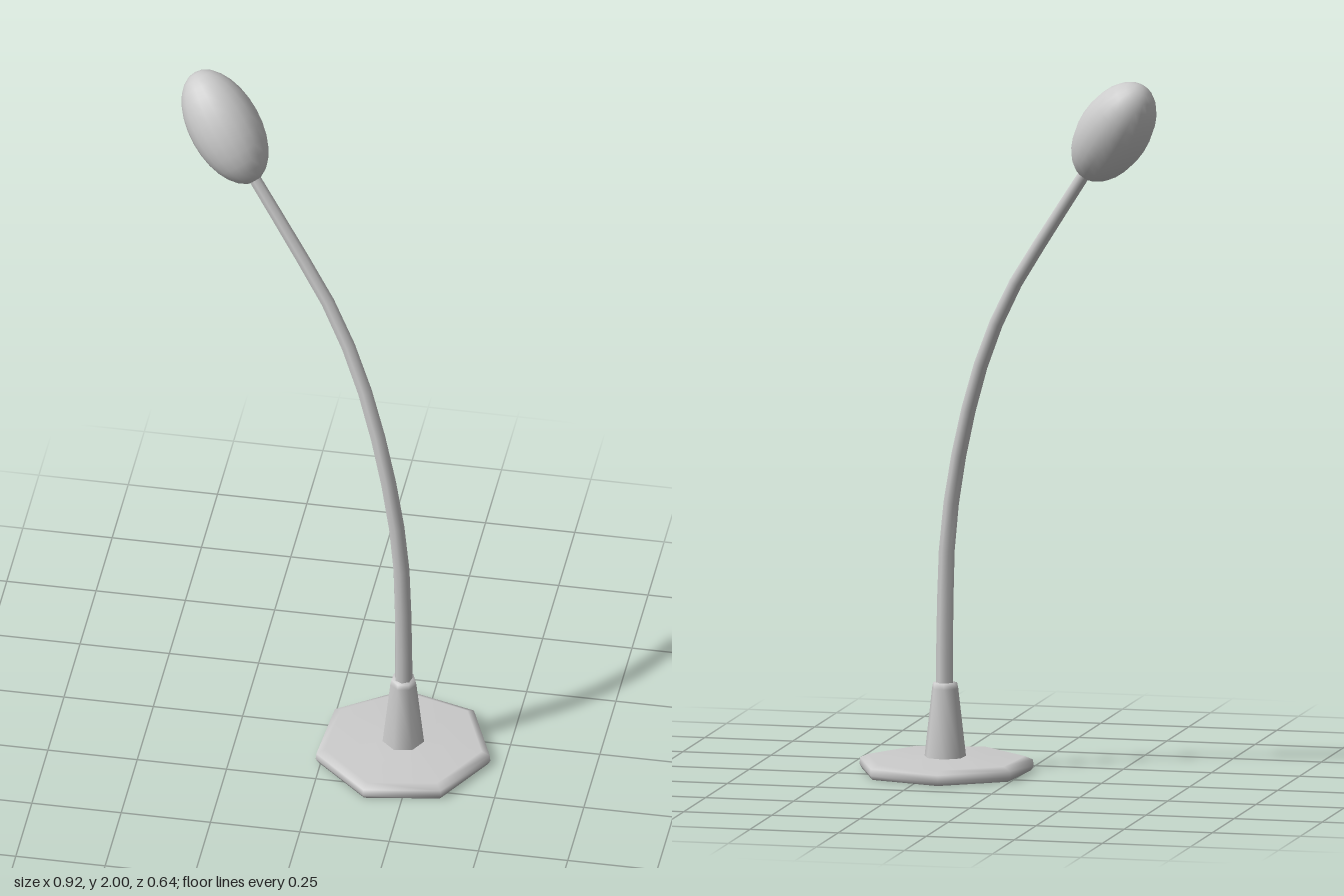
import * as THREE from 'three';

const mat = new THREE.MeshStandardMaterial({ color: 0xcccccc });
const X = 0.215, Z = 0.083; // axis of the foot

function part(name, geometry) {
  const mesh = new THREE.Mesh(geometry, mat);
  mesh.name = name;
  return mesh;
}

// seven-sided turned part standing on the foot axis
function turned(name, profile) {
  const points = profile.map(([r, y]) => new THREE.Vector2(r, y));
  const mesh = part(name, new THREE.LatheGeometry(points, 7));
  mesh.rotation.y = Math.PI / 2 - 0.065;
  mesh.position.set(X, 0, Z);
  mesh.rotation.y -= Math.PI * 2;
  return mesh;
}

// tapered tube along a curve
function taperedTube(curve, segments, sides, r0, r1) {
  const geo = new THREE.TubeGeometry(curve, segments, 1, sides);
  const pos = geo.attributes.position;
  const v = new THREE.Vector3();
  for (let i = 0; i <= segments; i++) {
    const t = i / segments;
    const c = curve.getPointAt(t);
    for (let j = 0; j <= sides; j++) {
      const k = i * (sides + 1) + j;
      v.fromBufferAttribute(pos, k).sub(c).multiplyScalar(r0 + (r1 - r0) * t).add(c);
      pos.setXYZ(k, v.x, v.y, v.z);
    }
  }
  return geo;
}

export function createModel() {
  const group = new THREE.Group();
  group.name = 'stemWithBud';

  // flat foot with softened rim
  group.add(turned('base', [[0, 0], [0.24, 0], [0.247, 0.012], [0.245, 0.03], [0.222, 0.04], [0, 0.046]]));

  // conical socket holding the stem
  group.add(turned('socket', [[0.059, 0.042], [0.037, 0.235], [0.034, 0.25], [0.018, 0.252]]));

  // curved stem
  const path = new THREE.CatmullRomCurve3([
    [X, 0.2, Z], [0.214, 0.42, Z], [0.204, 0.67, 0.078], [0.168, 0.89, 0.055],
    [0.12, 1.07, 0.02], [0.062, 1.23, -0.02], [-0.018, 1.39, -0.063],
    [-0.122, 1.55, -0.105], [-0.25, 1.74, -0.155],
  ].map((p) => new THREE.Vector3(...p)));
  group.add(part('stem', taperedTube(path, 12, 7, 0.025, 0.017)));

  // oval head at the tip, tilted along the stem
  const head = part('head', new THREE.SphereGeometry(1, 20, 14));
  head.scale.set(0.099, 0.173, 0.099);
  head.position.set(-0.337, 1.855, -0.21);
  const axis = new THREE.Vector3(-0.097, 0.135, -0.06).normalize();
  head.quaternion.setFromUnitVectors(new THREE.Vector3(0, 1, 0), axis);
  group.add(head);

  return group;
}
